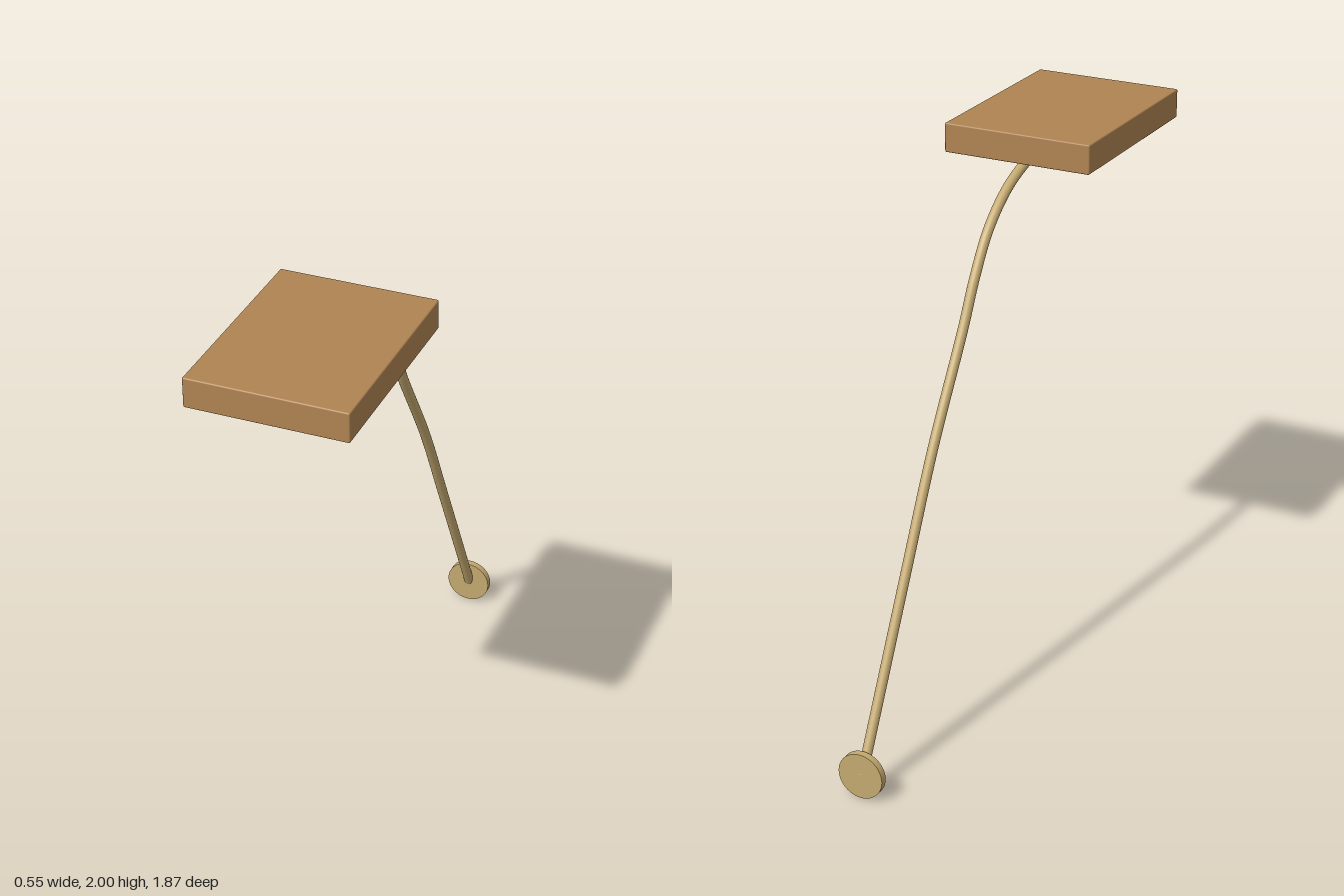
import * as THREE from 'three';
import { RoundedBoxGeometry } from 'three/addons/geometries/RoundedBoxGeometry.js';

export function createModel() {
  const model = new THREE.Group();
  const wood = new THREE.MeshStandardMaterial({ color: 0xb08452 });
  wood.name = 'wood';
  const brass = new THREE.MeshStandardMaterial({ color: 0xc4a970 });
  brass.name = 'brass';

  const add = (name, geometry, material, x, y, z) => {
    const mesh = new THREE.Mesh(geometry, material);
    mesh.name = name;
    mesh.position.set(x, y, z);
    model.add(mesh);
    return mesh;
  };

  // Wooden block with slightly eased edges
  add('woodenBlock', new RoundedBoxGeometry(0.55, 0.105, 0.738, 2, 0.005), wood, 0, 1.9475, 0.566);

  // Round mounting plate, facing forward
  const plate = new THREE.CylinderGeometry(0.083, 0.083, 0.026, 48);
  plate.rotateX(Math.PI / 2);
  add('mountingPlate', plate, brass, 0, 0.086, -0.922);

  // Curved arm rising from the plate into the underside of the block
  const path = new THREE.CatmullRomCurve3([
    [0.086, -0.92], [0.70, -0.604], [1.07, -0.412], [1.43, -0.19], [1.58, -0.108],
    [1.72, -0.008], [1.825, 0.13], [1.882, 0.285], [1.911, 0.43], [1.93, 0.53],
  ].map(([y, z]) => new THREE.Vector3(0, y, z)));
  const radius = 0.018;
  add('arm', new THREE.TubeGeometry(path, 96, radius, 20), brass, 0, 0, 0);

  // Caps closing both ends of the arm
  for (const [name, t, sign] of [['armLowerCap', 0, -1], ['armUpperCap', 1, 1]]) {
    const p = path.getPointAt(t);
    const cap = add(name, new THREE.CircleGeometry(radius, 20), brass, p.x, p.y, p.z);
    cap.quaternion.setFromUnitVectors(
      new THREE.Vector3(0, 0, 1), path.getTangentAt(t).multiplyScalar(sign));
  }
  return model;
}
